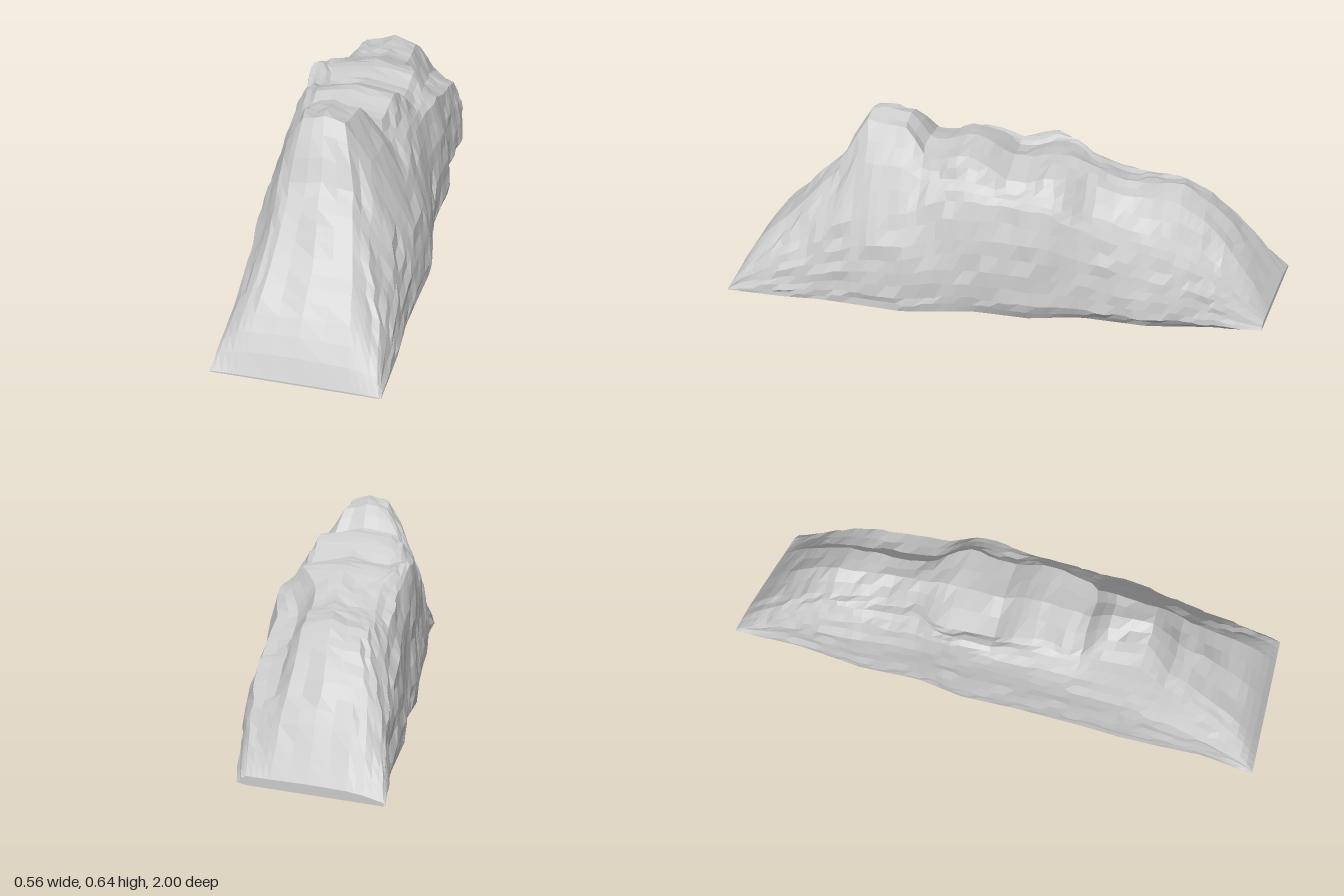
import * as THREE from 'three';

// Each track lists [z, values...] from the front of the ridge to its back.
const ridge = [[1, 0.006], [0.98, 0.05], [0.945, 0.11], [0.89, 0.185], [0.785, 0.28], [0.73, 0.34], [0.68, 0.395],
  [0.6, 0.46], [0.55, 0.56], [0.505, 0.638], [0.36, 0.622], [0.3, 0.54], [0.25, 0.53], [0.15, 0.565],
  [0.06, 0.535], [0, 0.49], [-0.07, 0.49], [-0.15, 0.515], [-0.25, 0.485], [-0.4, 0.43], [-0.6, 0.418],
  [-0.7, 0.365], [-0.79, 0.295], [-0.91, 0.16], [-1, 0.03]];
const sides = [[1, -0.265, 0.262], [0.8, -0.252, 0.268], [0.65, -0.262, 0.262], [0.5, -0.268, 0.272], [0.35, -0.265, 0.283],
  [0.1, -0.268, 0.25], [-0.1, -0.278, 0.268], [-0.28, -0.258, 0.235], [-0.5, -0.272, 0.245],
  [-0.75, -0.255, 0.215], [-0.9, -0.26, 0.2], [-1, -0.262, 0.18]];
const crown = [[1, -0.16, 0.16], [0.8, -0.13, 0.13], [0.68, -0.12, 0.1], [0.6, -0.12, 0.08], [0.5, -0.1, 0.03],
  [0.36, -0.12, 0.05], [0.27, -0.15, 0.09], [0.1, -0.16, 0.11], [-0.05, -0.17, 0.11], [-0.18, -0.19, 0.11],
  [-0.28, -0.12, 0.05], [-0.42, -0.11, 0.04], [-0.55, -0.14, 0.04], [-0.75, -0.15, 0.04], [-1, -0.15, 0.08]];
const leftShoulder = [[1, -0.25, 0.004], [0.95, -0.24, 0.07], [0.8, -0.21, 0.18], [0.65, -0.2, 0.28], [0.5, -0.205, 0.39],
  [0.35, -0.215, 0.43], [0.2, -0.23, 0.45], [0, -0.24, 0.465], [-0.13, -0.25, 0.495], [-0.25, -0.22, 0.43],
  [-0.45, -0.21, 0.37], [-0.65, -0.215, 0.305], [-0.8, -0.225, 0.2], [-0.93, -0.24, 0.08], [-1, -0.25, 0.012]];
const rightShoulder = [[1, 0.25, 0.004], [0.95, 0.24, 0.07], [0.8, 0.21, 0.17], [0.65, 0.2, 0.25], [0.5, 0.2, 0.32],
  [0.35, 0.2, 0.345], [0.2, 0.18, 0.405], [0, 0.185, 0.41], [-0.15, 0.205, 0.4], [-0.27, 0.18, 0.34],
  [-0.45, 0.19, 0.28], [-0.65, 0.18, 0.23], [-0.8, 0.17, 0.165], [-0.93, 0.16, 0.08], [-1, 0.15, 0.028]];
// how far out and how far down the right flank breaks, as shares of crown to shoulder
const crease = [[1, 0.5, 0.45], [0.5, 0.5, 0.42], [0.1, 0.5, 0.5], [-0.2, 0.5, 0.6], [-0.3, 0.42, 0.8],
  [-0.65, 0.42, 0.78], [-0.85, 0.5, 0.65], [-1, 0.5, 0.5]];

const lerp = THREE.MathUtils.lerp;

function sample(track, z) {
  let i = 0;
  while (i < track.length - 2 && z < track[i + 1][0]) i++;
  const a = track[i], b = track[i + 1];
  const t = THREE.MathUtils.clamp((a[0] - z) / (a[0] - b[0]), 0, 1);
  return a.slice(1).map((v, k) => lerp(v, b[k + 1], t));
}

function noise(i, j) {
  const s = Math.sin(i * 127.1 + j * 311.7) * 43758.5453;
  return (s - Math.floor(s)) * 2 - 1;
}

// Outline of one slice, from the left foot over the crown to the right foot
function slice(z) {
  const [h] = sample(ridge, z), [xl, xr] = sample(sides, z), [cl, cr] = sample(crown, z);
  const [lx, ly] = sample(leftShoulder, z), [rx, ry] = sample(rightShoulder, z);
  const [out, down] = sample(crease, z);
  const drop = Math.min(0.022, h * 0.06);
  // towards the back the right wall overhangs its foot
  const footRight = xr - 0.03 * THREE.MathUtils.smoothstep(-z, -0.4, 0.3);
  return [
    [xl + 0.004, 0], [xl, ly * 0.2], [xl + 0.012, ly * 0.48], [lerp(xl, lx, 0.4), ly * 0.79], [lx, ly],
    [lerp(lx, cl, 0.5), lerp(ly, h, 0.58)],
    [cl, h - drop], [(cl + cr) / 2, h], [cr, h - drop],
    [lerp(cr, rx, out), lerp(h - drop, ry, down)],
    [rx, ry], [lerp(rx, xr, 0.55), ry * 0.7], [xr - 0.01, ry * 0.42], [xr, ry * 0.16], [footRight, 0],
  ];
}

function rockGeometry() {
  const rows = 60, sub = 2, pos = [], index = [];
  const spans = slice(0).length - 1, cols = spans * sub + 1;
  for (let i = 0; i <= rows; i++) {
    const z = 1 - 2 * i / rows;
    const pts = slice(z);
    const fade = Math.min(1, (1 - Math.abs(z)) * 5);
    for (let j = 0; j < cols; j++) {
      const k = Math.min(spans - 1, Math.floor(j / sub)), t = j / sub - k;
      let x = lerp(pts[k][0], pts[k + 1][0], t);
      let y = lerp(pts[k][1], pts[k + 1][1], t);
      const foot = j === 0 || j === cols - 1;
      // blocky chips, shared by pairs of neighbouring slices
      const n = noise(Math.floor(i / 2), j) * fade;
      if (!foot) {
        x += n * 0.005;
        y = Math.max(0.001, y + noise(j, Math.floor(i / 2) + 9) * 0.006 * fade);
      }
      // the back end is cut at a slant
      const skew = THREE.MathUtils.smoothstep(-z, 0.5, 1) * (x + 0.26) * 0.23;
      pos.push(x, y, z + skew + (foot ? 0 : n * 0.006));
    }
  }
  for (let i = 0; i < rows; i++) {
    for (let j = 0; j < cols; j++) {
      const j2 = (j + 1) % cols; // the last strip closes the flat underside
      const a = i * cols + j, b = i * cols + j2, c = a + cols, d = b + cols;
      index.push(a, b, c, b, d, c);
    }
  }
  // thin end caps
  const last = rows * cols;
  for (let j = 1; j < cols - 1; j++) {
    index.push(0, j + 1, j, last, last + j, last + j + 1);
  }
  const geo = new THREE.BufferGeometry();
  geo.setAttribute('position', new THREE.Float32BufferAttribute(pos, 3));
  geo.setIndex(index);
  geo.computeVertexNormals();
  return geo;
}

export function createModel() {
  const group = new THREE.Group();
  group.name = 'rockRidge';
  const rock = new THREE.Mesh(rockGeometry(),
    new THREE.MeshStandardMaterial({ color: 0xcccccc, flatShading: true }));
  rock.name = 'rock';
  group.add(rock);
  return group;
}
